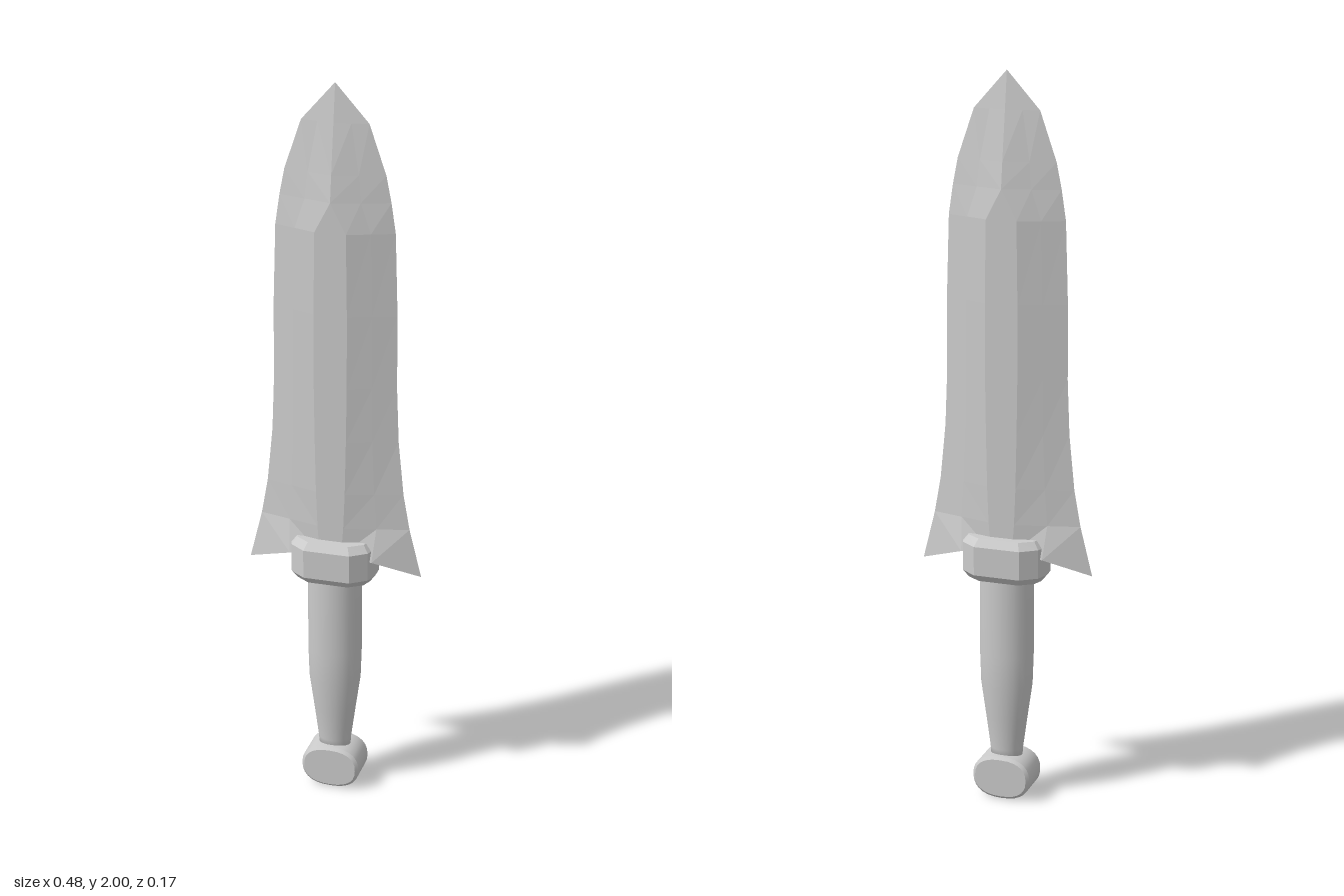
import * as THREE from 'three';
import { toCreasedNormals } from 'three/addons/utils/BufferGeometryUtils.js';

const grey = () => new THREE.MeshStandardMaterial({ color: 0xcccccc });
const flatGrey = () => new THREE.MeshStandardMaterial({ color: 0xcccccc, flatShading: true });

function part(name, geometry, material) {
  const mesh = new THREE.Mesh(geometry, material);
  mesh.name = name;
  return mesh;
}

// Turns triangles (arrays of three corners) into a flat-faced geometry, dropping collapsed ones
function facets(triangles) {
  const kept = triangles.filter((t) => new THREE.Triangle(...t).getArea() > 1e-7);
  const geometry = new THREE.BufferGeometry().setFromPoints(kept.flat());
  geometry.computeVertexNormals();
  return geometry;
}

// Blade: one quarter as rows from base to tip, mirrored to four
function bladeGeometry() {
  // y, cutting edge x, half width of the central flat, half thickness
  const stations = [
    [0.8, 0.208, 0.036, 0.045],
    [0.9, 0.19, 0.04, 0.045],
    [1.05, 0.175, 0.043, 0.045],
    [1.2, 0.169, 0.045, 0.045],
    [1.4, 0.168, 0.045, 0.045],
    [1.62, 0.161, 0.042, 0.045],
    [1.7, 0.149, 0, 0.045],
    [1.77, 0.135, 0, 0.035],
    [1.9, 0.09, 0, 0.015],
    [2, 0, 0, 0],
  ];
  // swept base, thick up to the guard and pointed at the barb
  const base = [[0, 0.72, 0.045], [0.03, 0.72, 0.045], [0.115, 0.71, 0.045], [0.242, 0.665, 0]];
  const rows = [base.map(([x, y]) => [x, y, 0]), base];
  for (const [y, edge, flat, z] of stations) {
    rows.push([[0, y, z], [flat, y, z], [(flat + edge) / 2, y, z / 2], [edge, y, 0]]);
  }
  const triangles = [];
  for (const sx of [1, -1]) for (const sz of [1, -1]) {
    const at = (r, c) => new THREE.Vector3(rows[r][c][0] * sx, rows[r][c][1], rows[r][c][2] * sz);
    for (let r = 0; r < rows.length - 1; r++) for (let c = 0; c < 3; c++) {
      const [a, b, d, e] = [at(r, c), at(r, c + 1), at(r + 1, c + 1), at(r + 1, c)];
      triangles.push(...(sx * sz > 0 ? [[a, b, d], [a, d, e]] : [[a, d, b], [a, e, d]]));
    }
  }
  return facets(triangles);
}

// Guard: bevelled collar lofted from a many-sided outline
function guardGeometry() {
  const corner = [[0.118, 0.02], [0.107, 0.053], [0.064, 0.085]];
  const back = [...corner].reverse();
  const outline = [
    ...corner,
    ...back.map(([x, z]) => [-x, z]),
    ...corner.map(([x, z]) => [-x, -z]),
    ...back.map(([x, z]) => [x, -z]),
  ];
  // y and scale in x and z of each ring
  const rings = [[0.64, 0, 0], [0.64, 0.87, 0.82], [0.66, 1, 1], [0.74, 1, 1], [0.76, 0.87, 0.82], [0.76, 0, 0]];
  const at = (r, i) => {
    const [x, z] = outline[i % outline.length];
    return new THREE.Vector3(x * rings[r][1], rings[r][0], z * rings[r][2]);
  };
  const triangles = [];
  for (let r = 0; r < rings.length - 1; r++) for (let i = 0; i < outline.length; i++) {
    const [a, b, c, d] = [at(r, i), at(r, i + 1), at(r + 1, i + 1), at(r + 1, i)];
    triangles.push([a, c, b], [a, d, c]);
  }
  return facets(triangles);
}

// Grip: oval turned handle tapering toward the pommel
function gripGeometry() {
  const profile = [[0, 0.1], [0.043, 0.1], [0.046, 0.14], [0.058, 0.23], [0.072, 0.33], [0.075, 0.42], [0.075, 0.65]];
  const geometry = new THREE.LatheGeometry(profile.map(([x, y]) => new THREE.Vector2(x, y)), 24);
  geometry.scale(1, 1, 0.82);
  return geometry;
}

// Pommel: rounded oblong block running front to back with softened rims
function pommelGeometry() {
  const bevel = 0.008;
  const points = [];
  const squash = (v, p) => Math.sign(v) * Math.abs(v) ** p;
  for (let i = 0; i < 28; i++) {
    const a = (i / 28) * Math.PI * 2;
    points.push(new THREE.Vector2(
      squash(Math.cos(a), 0.82) * (0.082 - bevel),
      0.064 + squash(Math.sin(a), 0.82) * (0.062 - bevel),
    ));
  }
  const depth = 0.094;
  const geometry = new THREE.ExtrudeGeometry(new THREE.Shape(points), {
    depth, bevelEnabled: true, bevelSize: bevel, bevelThickness: bevel, bevelSegments: 1,
  });
  geometry.translate(0, 0, -depth / 2);
  return toCreasedNormals(geometry, 0.6);
}

export function createModel() {
  const dagger = new THREE.Group();
  dagger.name = 'dagger';
  dagger.add(
    part('blade', bladeGeometry(), flatGrey()),
    part('guard', guardGeometry(), flatGrey()),
    part('grip', gripGeometry(), grey()),
    part('pommel', pommelGeometry(), grey()),
  );
  return dagger;
}
